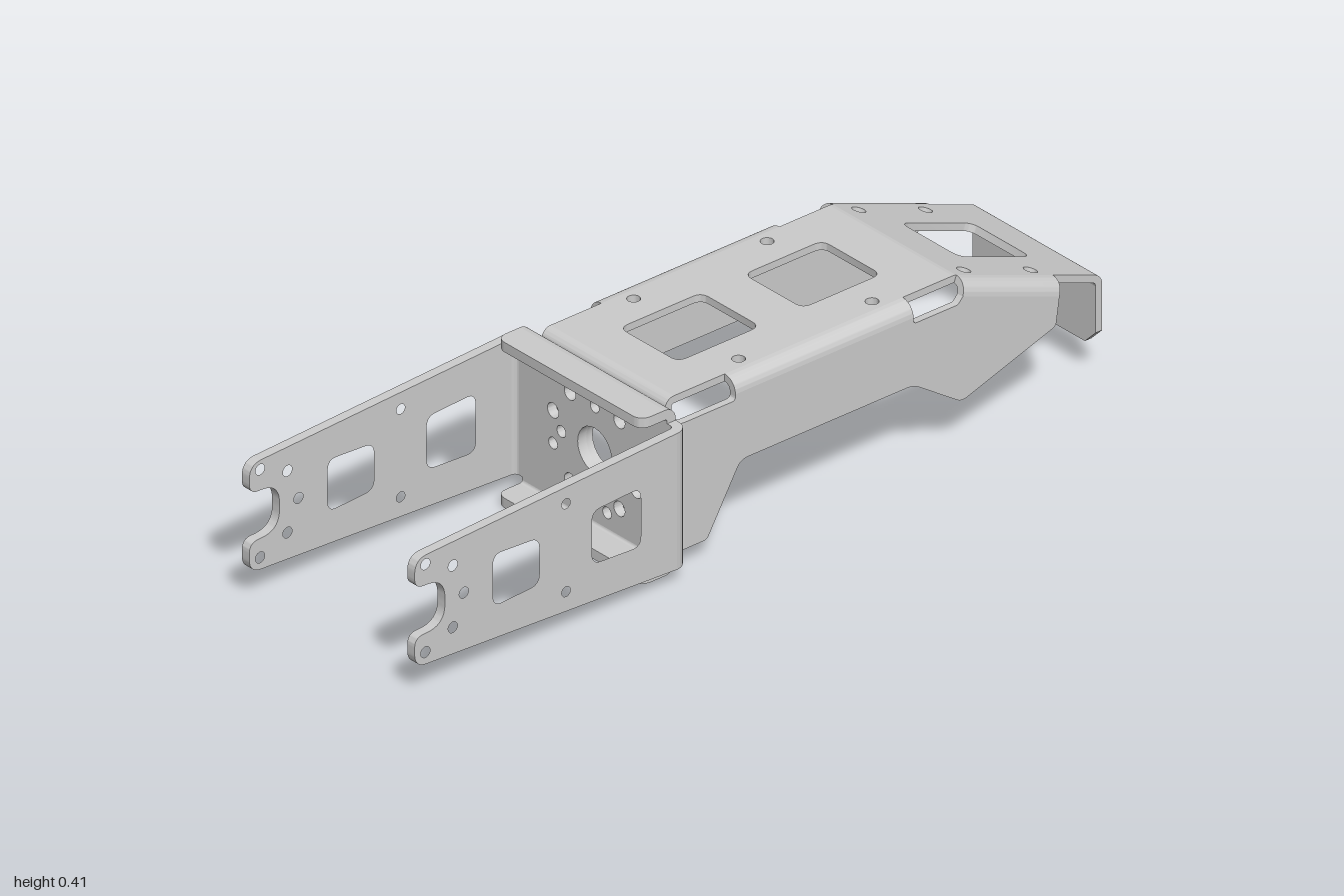
import * as THREE from 'three';
import { toCreasedNormals } from 'three/addons/utils/BufferGeometryUtils.js';

const V = (x, y, z) => new THREE.Vector3(x, y, z);
const SLOPE = Math.atan(0.375), S = Math.sin(SLOPE), C = Math.cos(SLOPE);
const Q = Math.PI / 2;

// Drawing planes: first two vectors are the sketch axes, the extrusion follows their cross product
const PLANES = {
  front: [V(1, 0, 0), V(0, 1, 0)],
  side: [V(0, 0, 1), V(0, 1, 0)],
  top: [V(1, 0, 0), V(0, 0, 1)],
  slope: [V(1, 0, 0), V(0, S, C)],
  slopeSection: [V(1, 0, 0), V(0, C, -S)],
};

// Closed outline from [x, y, cornerRadius] points
function outline(points, path = new THREE.Shape()) {
  const n = points.length;
  points.forEach(([x, y, r = 0], i) => {
    const p = new THREE.Vector2(x, y);
    const toward = (q) => new THREE.Vector2(q[0], q[1]).sub(p).setLength(r).add(p);
    const a = r ? toward(points[(i + n - 1) % n]) : p;
    if (i) path.lineTo(a.x, a.y); else path.moveTo(a.x, a.y);
    if (r) {
      const b = toward(points[(i + 1) % n]);
      path.quadraticCurveTo(x, y, b.x, b.y);
    }
  });
  path.closePath();
  return path;
}

const rect = (x0, y0, x1, y1, r = 0) => [[x0, y0, r], [x1, y0, r], [x1, y1, r], [x0, y1, r]];
const windowHole = (...a) => outline(rect(...a), new THREE.Path());
const roundHole = ([x, y, r]) => new THREE.Path().absarc(x, y, r, 0, Math.PI * 2, true);
const mirrorX = (list) => list.flatMap(([x, y, r]) => [[x, y, r], [-x, y, r]]);

export function createModel() {
  const model = new THREE.Group();
  const material = new THREE.MeshStandardMaterial({ color: 0xcccccc });

  function extrude(parent, name, shape, depth, plane, pos) {
    const geo = toCreasedNormals(
      new THREE.ExtrudeGeometry(shape, { depth, bevelEnabled: false, curveSegments: 12 }), 0.5);
    const [x, y] = PLANES[plane];
    geo.applyMatrix4(new THREE.Matrix4().makeBasis(x, y, x.clone().cross(y)).setPosition(...pos));
    const mesh = new THREE.Mesh(geo, material);
    mesh.name = name;
    parent.add(mesh);
  }
  function panel(parent, name, points, holes, t, plane, pos) {
    const shape = outline(points);
    shape.holes = holes;
    extrude(parent, name, shape, t, plane, pos);
  }
  // Curved sheet between two flat panels
  function bend(parent, name, radius, t, a0, a1, length, plane, pos) {
    const shape = new THREE.Shape();
    shape.absarc(0, 0, radius, a0, a1, false);
    shape.absarc(0, 0, radius - t, a1, a0, true);
    extrude(parent, name, shape, length, plane, pos);
  }

  // ---- Fork bracket: mounting plate, two flanges, two arms ----
  const fork = new THREE.Group();
  fork.name = 'forkBracket';
  model.add(fork);
  const T = 0.024, back = 0.228, mid = 0.203;

  const plateHoles = [
    [0, mid, 0.055], [0, 0.31, 0.014], [0, 0.095, 0.014],
    ...mirrorX([[0.08, 0.31, 0.018], [0.08, 0.095, 0.018], [0.108, mid, 0.014]]),
    [-0.04, 0.337, 0.014], [0.04, 0.337, 0.018], [-0.135, 0.243, 0.018], [0.135, 0.243, 0.014],
    [-0.135, 0.163, 0.014], [0.135, 0.163, 0.018], [-0.04, 0.068, 0.018], [0.04, 0.068, 0.014],
  ].map(roundHole);
  panel(fork, 'forkPlate', [
    [-0.235, 0.03], [0.235, 0.03], [0.235, 0.037], [0.245, 0.037], [0.245, 0.37], [0.235, 0.37],
    [0.235, 0.375], [-0.235, 0.375], [-0.235, 0.37], [-0.245, 0.37], [-0.245, 0.037], [-0.235, 0.037],
  ], plateHoles, T, 'front', [0, 0, back]);

  // Top and bottom flanges
  for (const [name, bendY, topY, a] of [['top', 0.375, 0.405, Q], ['bottom', 0.03, T, 2 * Q]]) {
    bend(fork, name + 'FlangeBend', 0.03, T, a, a + Q, 0.47, 'side', [0.235, bendY, back + 0.03]);
    panel(fork, name + 'Flange',
      [[-0.235, 0.258], [0.235, 0.258], [0.235, 0.325, 0.03], [-0.235, 0.325, 0.03]],
      [], T, 'top', [0, topY, 0]);
  }

  // Tapered arms with a notched tip
  const armOutline = [
    [0.263, 0.037], [0.263, 0.37], [0.96, 0.338, 0.01], [1, 0.336, 0.035], [1, 0.265, 0.025],
    [0.915, 0.262, 0.05], [0.915, 0.148, 0.05], [1, 0.145, 0.025], [1, 0.071, 0.035], [0.96, 0.07, 0.01],
  ];
  for (const s of [1, -1]) {
    const side = s > 0 ? 'left' : 'right';
    const holes = [
      [0.575, 0.315, 0.012], [0.575, 0.1, 0.012], [0.97, 0.315, 0.013], [0.97, 0.1, 0.013],
      [0.893, 0.283, 0.013], [0.893, 0.132, 0.013], [0.862, 0.205, 0.013],
    ].map(roundHole);
    holes.push(
      outline([[0.65, 0.147, 0.025], [0.78, 0.14, 0.025], [0.78, 0.267, 0.025], [0.65, 0.26, 0.025]].reverse(), new THREE.Path()),
      outline([[0.365, 0.132, 0.025], [0.502, 0.139, 0.025], [0.502, 0.268, 0.025], [0.365, 0.275, 0.025]].reverse(), new THREE.Path()));
    panel(fork, side + 'Arm', armOutline, holes, T, 'side', [s > 0 ? 0.28 : -0.28 + T, 0, 0]);
    bend(fork, side + 'ArmBend', 0.035, T, s > 0 ? -Q : 2 * Q, s > 0 ? 0 : 3 * Q, 0.333, 'top',
      [s * 0.245, 0.37, back + 0.035]);
  }

  // ---- Channel bracket: end plate, top, sloped tail, lip, side walls ----
  const channel = new THREE.Group();
  channel.name = 'channelBracket';
  model.add(channel);
  const t = 0.018;

  const endHoles = [
    [0, mid, 0.055], [0, 0.31, 0.014], [0, 0.095, 0.014],
    ...mirrorX([[0.108, mid, 0.014], [0.115, 0.238, 0.014], [0.115, 0.168, 0.014],
      [0.042, 0.315, 0.014], [0.042, 0.091, 0.014]]),
  ].map(roundHole);
  panel(channel, 'endPlate', [
    [-0.21, 0.045], [0.21, 0.045], [0.21, 0.355], [0.2, 0.355], [0.2, 0.38],
    [-0.2, 0.38], [-0.2, 0.355], [-0.21, 0.355],
  ], endHoles, t, 'front', [0, 0, back - t]);
  bend(channel, 'endPlateBend', 0.025, t, 0, Q, 0.4, 'side', [0.2, 0.38, back - 0.025]);

  panel(channel, 'topPlate', rect(-0.2, -0.58, 0.2, 0.203), [
    windowHole(-0.095, -0.47, 0.095, -0.25, 0.025), windowHole(-0.095, -0.13, 0.095, 0.1, 0.025),
    ...mirrorX([[0.17, -0.38, 0.015], [0.17, -0.005, 0.015]]).map(roundHole),
  ], t, 'top', [0, 0.405, 0]);

  // Sloped tail and its lip
  const slopeTop = [0, 0.375 + 0.03 * C, -0.58 - 0.03 * S];
  const slopeLength = 0.39 / C;
  bend(channel, 'tailBend', 0.03, t, Q, Q + SLOPE, 0.4, 'side', [0.2, 0.375, -0.58]);
  panel(channel, 'tailPlate', rect(-0.2, -slopeLength, 0.2, 0), [
    windowHole(-0.095, -0.32, 0.095, -0.106, 0.025),
    ...mirrorX([[0.17, -0.25, 0.016], [0.17, -0.05, 0.016]]).map(roundHole),
  ], t, 'slope', slopeTop);
  const lipY = 0.375 - 0.39 * S / C;
  bend(channel, 'lipBend', 0.03, t, Q + SLOPE, 2 * Q, 0.4, 'side', [0.2, lipY, -0.97]);
  panel(channel, 'tailLip',
    [[-0.2, lipY], [-0.2, 0.115], [-0.165, 0.08], [0.165, 0.08], [0.2, 0.115], [0.2, lipY]],
    [], t, 'front', [0, 0, -1]);

  // Side walls with relief gaps at the folds
  const wall = [
    [0.203, 0.045], [0.203, 0.355], [0.06, 0.355, 0.01], [0.06, 0.37], [-0.44, 0.37], [-0.44, 0.355, 0.01],
    [-0.565, 0.355, 0.005], [-0.579, 0.37], [-0.85, 0.268], [-0.84, 0.2, 0.01], [-0.575, 0.115, 0.015],
    [-0.44, 0.205, 0.02], [0.045, 0.205, 0.02], [0.14, 0.045, 0.01],
  ];
  for (const s of [1, -1]) {
    const side = s > 0 ? 'left' : 'right';
    const a = s > 0 ? 0 : Q;
    panel(channel, side + 'Wall', wall, [], t, 'side', [s > 0 ? 0.235 : -0.235 + t, 0, 0]);
    bend(channel, side + 'WallFrontBend', 0.025, t, a, a + Q, 0.31, 'top', [s * 0.21, 0.355, back - 0.025]);
    bend(channel, side + 'WallTopBend', 0.035, t, a, a + Q, 0.5, 'front', [s * 0.2, 0.37, -0.44]);
    // The tail fold starts low on the slope and runs up to the top plate
    const low = 0.29;
    bend(channel, side + 'WallTailBend', 0.035, t, a, a + Q, low, 'slopeSection',
      [s * 0.2, slopeTop[1] - 0.035 * C - low * S, slopeTop[2] + 0.035 * S - low * C]);
  }
  return model;
}
